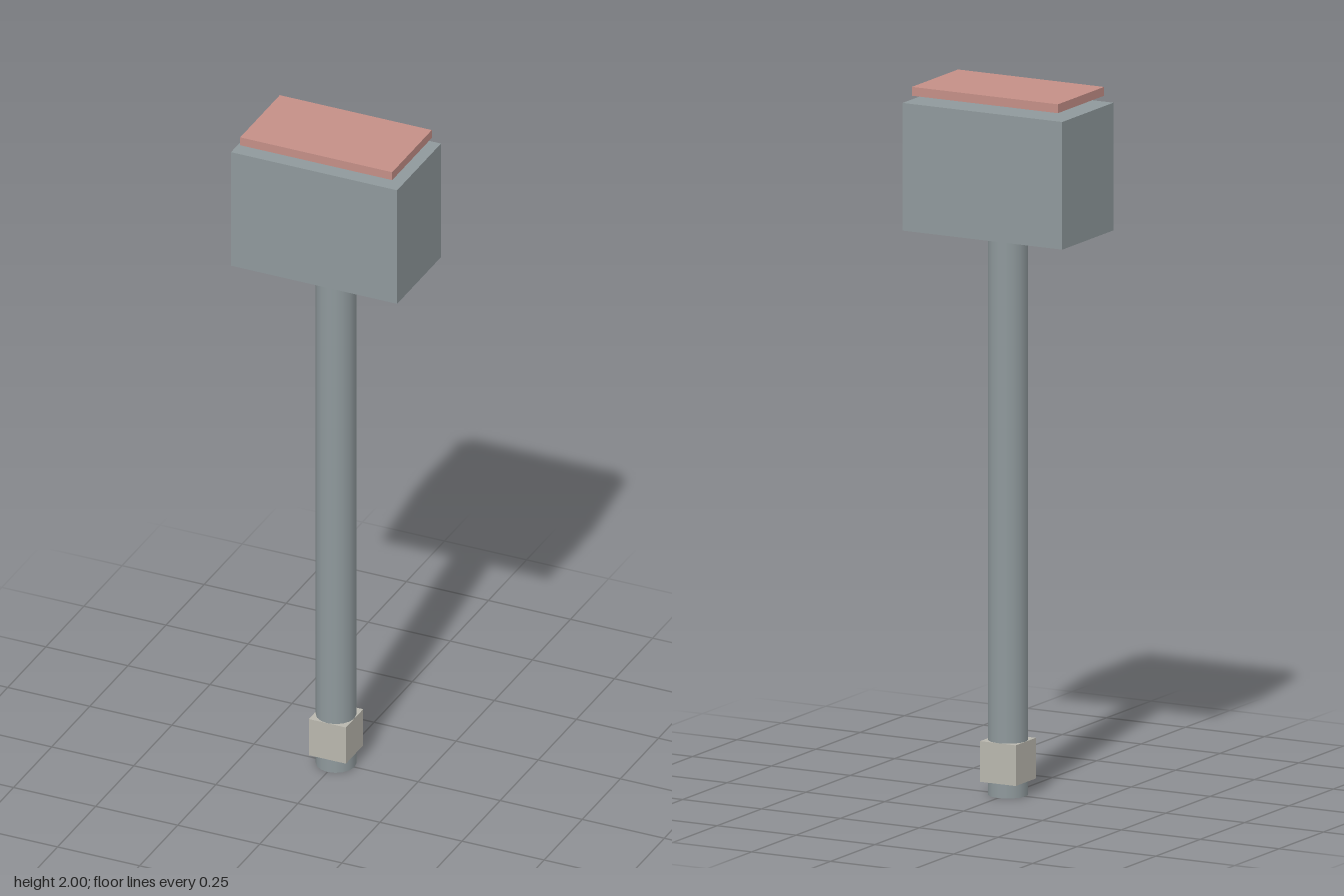
import * as THREE from 'three';

export function createModel() {
  const model = new THREE.Group();
  const material = (name, color) => {
    const m = new THREE.MeshStandardMaterial({ color });
    m.name = name;
    return m;
  };
  const steel = material('grey steel', 0x8f999c);
  const brass = material('pale nut metal', 0xb9b7ae);
  const red = material('dusty red', 0xc48f87);

  const add = (name, geometry, mat, bottom, top) => {
    const mesh = new THREE.Mesh(geometry, mat);
    mesh.name = name;
    mesh.position.y = (bottom + top) / 2;
    model.add(mesh);
  };
  const addBox = (name, width, depth, bottom, top, mat) =>
    add(name, new THREE.BoxGeometry(width, top - bottom, depth), mat, bottom, top);

  // Round shaft standing on the ground
  add('shaft', new THREE.CylinderGeometry(0.056, 0.056, 1.6, 16), steel, 0, 1.6);

  // Square collar near the foot
  addBox('collar', 0.113, 0.113, 0.04, 0.155, brass);

  // Block head with a thin plate floating just above it
  addBox('head', 0.506, 0.288, 1.594, 1.955, steel);
  addBox('topPlate', 0.463, 0.26, 1.975, 2, red);

  return model;
}
